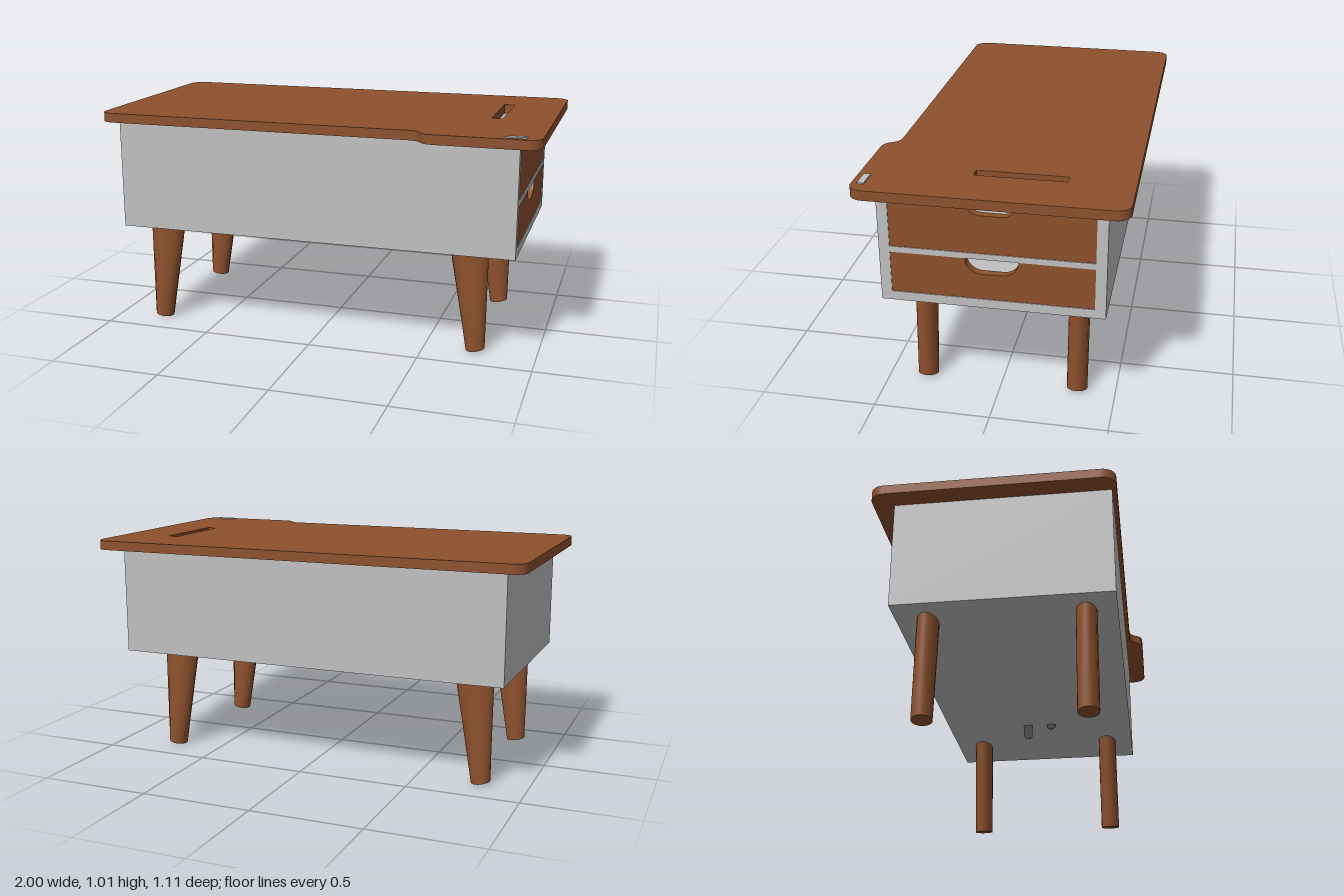
import * as THREE from 'three';

const material = (name, color) => {
  const m = new THREE.MeshStandardMaterial({ color });
  m.name = name;
  return m;
};

export function createModel() {
  const wood = material('brown wood', 0x8e512d);
  const paint = material('light grey', 0xc0c0c0);
  const black = material('black', 0x111111);
  const root = new THREE.Group();

  const add = (name, geometry, mat, parent = root) => {
    const mesh = new THREE.Mesh(geometry, mat);
    mesh.name = name;
    parent.add(mesh);
    return mesh;
  };
  // Box given by its lower and upper limits
  const block = (name, x0, x1, y0, y1, z0, z1, mat, parent) => {
    const g = new THREE.BoxGeometry(x1 - x0, y1 - y0, z1 - z0);
    g.translate((x0 + x1) / 2, (y0 + y1) / 2, (z0 + z1) / 2);
    return add(name, g, mat, parent);
  };

  // Tabletop with rounded corners, stepped front edge and a slot (shape y is -z)
  const top = new THREE.Shape();
  const r = 0.06;
  top.moveTo(-1 + r, -0.485);
  top.lineTo(0.44, -0.485);
  top.bezierCurveTo(0.52, -0.485, 0.48, -0.55, 0.56, -0.55);
  top.lineTo(1 - r, -0.55);
  top.absarc(1 - r, -0.55 + r, r, -Math.PI / 2, 0);
  top.lineTo(1, 0.555 - r);
  top.absarc(1 - r, 0.555 - r, r, 0, Math.PI / 2);
  top.lineTo(-1 + r, 0.555);
  top.absarc(-1 + r, 0.555 - r, r, Math.PI / 2, Math.PI);
  top.lineTo(-1, -0.485 + r);
  top.absarc(-1 + r, -0.485 + r, r, Math.PI, Math.PI * 1.5);
  const slot = new THREE.Path();
  slot.moveTo(0.726, -0.095);
  slot.lineTo(0.726, 0.285);
  slot.lineTo(0.774, 0.285);
  slot.lineTo(0.774, -0.095);
  slot.closePath();
  top.holes.push(slot);
  const topGeo = new THREE.ExtrudeGeometry(top, { depth: 0.042, bevelEnabled: false, curveSegments: 10 });
  topGeo.rotateX(-Math.PI / 2);
  topGeo.translate(0, 0.963, 0);
  add('tabletop', topGeo, wood);
  block('smallPlate', 0.848, 0.938, 1.004, 1.01, 0.497, 0.525, paint);

  // Hollow cabinet, open toward +x
  const cabinet = new THREE.Group();
  cabinet.name = 'cabinet';
  root.add(cabinet);
  block('floor', -0.91, 0.905, 0.475, 0.515, -0.465, 0.465, paint, cabinet);
  block('endWall', -0.91, -0.87, 0.515, 0.963, -0.42, 0.42, paint, cabinet);
  block('shelf', -0.87, 0.905, 0.697, 0.723, -0.42, 0.42, paint, cabinet);
  for (const s of [-1, 1]) {
    block('sideWall', -0.91, 0.905, 0.515, 0.963, s < 0 ? -0.465 : 0.42, s < 0 ? -0.42 : 0.465, paint, cabinet);
  }

  // Drawer fronts with a scooped finger pull
  const drawer = (name, y0, y1) => {
    const s = new THREE.Shape();
    const d = 0.068;
    s.moveTo(-0.42, y0);
    s.lineTo(0.42, y0);
    s.lineTo(0.42, y1);
    s.lineTo(0.11, y1);
    s.absarc(0.11 - d, y1, d, 0, -Math.PI / 2, true);
    s.lineTo(-0.11 + d, y1 - d);
    s.absarc(-0.11 + d, y1, d, -Math.PI / 2, -Math.PI, true);
    s.lineTo(-0.42, y1);
    const g = new THREE.ExtrudeGeometry(s, { depth: 0.035, bevelEnabled: false, curveSegments: 10 });
    g.rotateY(Math.PI / 2);
    g.translate(0.867, 0, 0);
    add(name, g, wood);
  };
  drawer('upperDrawerFront', 0.723, 0.958);
  drawer('lowerDrawerFront', 0.515, 0.697);

  // Splayed legs: tapered in x only, with a tilted foot
  const leg = (side, xTop, xFoot, z) => {
    const g = new THREE.CylinderGeometry(1, 1, 1, 16);
    const p = g.attributes.position;
    for (let i = 0; i < p.count; i++) {
      const t = p.getY(i) + 0.5;
      const u = p.getX(i);
      const x = THREE.MathUtils.lerp(xFoot + u * 0.042, xTop + u * 0.086, t);
      const foot = 0.009 + u * side * 0.007;
      p.setXYZ(i, x, THREE.MathUtils.lerp(foot, 0.478, t), z + p.getZ(i) * 0.045);
    }
    g.computeVertexNormals();
    add(side > 0 ? 'leftLeg' : 'rightLeg', g, wood);
  };
  for (const z of [0.335, -0.332]) {
    leg(1, 0.688, 0.728, z);
    leg(-1, -0.75, -0.79, z);
  }

  // Thin black tabs hanging under the cabinet
  const tab = (z, yEnd) => {
    const s = new THREE.Shape();
    const w = 0.022;
    s.moveTo(w, 0.48);
    s.lineTo(-w, 0.48);
    s.lineTo(-w, yEnd + w);
    s.absarc(0, yEnd + w, w, Math.PI, Math.PI * 2);
    const g = new THREE.ExtrudeGeometry(s, { depth: 0.005, bevelEnabled: false, curveSegments: 6 });
    g.rotateY(Math.PI / 2);
    g.translate(0.411, 0, z);
    add('hangingTab', g, black);
  };
  tab(0.062, 0.447);
  tab(-0.056, 0.399);

  return root;
}
